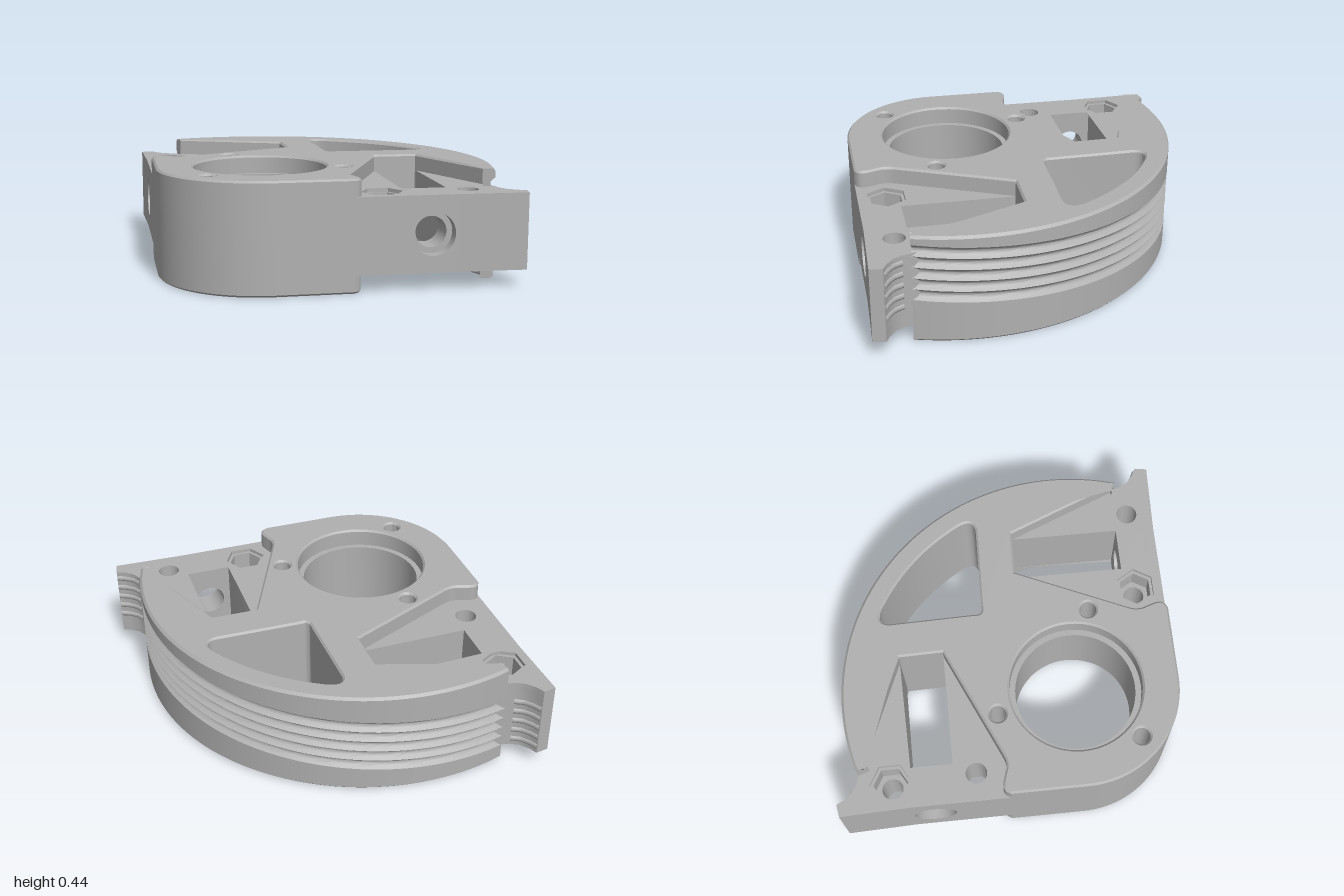
import * as THREE from 'three';
import { toCreasedNormals } from 'three/addons/utils/BufferGeometryUtils.js';

const H = 0.445;                    // full height
const R = 0.935, CZ = 0.25;         // rear drum arc: radius and centre z
const A0 = 1.088;                   // half sweep of the drum arc
const EDGE = 0.857;                 // front faces lie on x + z = EDGE
const W0 = 0.07, W1 = 0.375;        // wing bottom and top
const BORE = 0.265;                 // bore centre z

const V = (x, z) => new THREE.Vector2(x, -z);   // plan point to shape point
const plan = pts => new THREE.Shape(pts.map(([x, z]) => V(x, z)));

function circle(x, y, r) {
  const p = new THREE.Path();
  p.absarc(x, y, r, 0, Math.PI * 2, true);
  return p;
}

function hexagon(x, z, r) {
  const pts = [];
  for (let i = 0; i < 6; i++) {
    const a = Math.PI / 4 + i * Math.PI / 3;
    pts.push(new THREE.Vector2(x + r * Math.cos(a), -z + r * Math.sin(a)));
  }
  return new THREE.Path(pts);
}

// Extrude a plan shape upwards from y0 to y1, optionally chamfered
function slab(shape, y0, y1, c = 0) {
  const g = new THREE.ExtrudeGeometry(shape, {
    depth: y1 - y0 - 2 * c, curveSegments: 28, bevelEnabled: c > 0,
    bevelSize: c, bevelThickness: c, bevelOffset: -c, bevelSegments: 1,
  });
  g.rotateX(-Math.PI / 2).translate(0, y0 + c, 0);
  return toCreasedNormals(g, 0.5);
}

function coreShape() {
  // Right-hand outline from the front corner back to the drum arc
  const side = [[0.51, 0.347]];
  const bend = (a, b, c) => {
    const q = new THREE.QuadraticBezierCurve(
      new THREE.Vector2(...a), new THREE.Vector2(...b), new THREE.Vector2(...c));
    q.getPoints(6).forEach(p => side.push([p.x, p.y]));
  };
  bend([0.512, 0.34], [0.525, 0.31], [0.49, 0.29]);
  bend([0.455, 0.272], [0.42, 0.26], [0.403, 0.21]);
  side.push([0.23, -0.245], [0.36, -0.37], [0.808, -0.182]);

  const pts = [];
  const arc = (cz, r, from, to, n) => {
    for (let i = 0; i <= n; i++) {
      const a = from + (to - from) * i / n;
      pts.push([r * Math.sin(a), cz - r * Math.cos(a)]);
    }
  };
  arc(0.27, 0.415, Math.PI * 1.25, Math.PI * 0.75, 28);
  pts.push(...side);
  arc(CZ, R - 0.03, A0, -A0, 56);
  pts.push(...side.map(([x, z]) => [-x, z]).reverse());
  const s = plan(pts);

  // Bore, screw holes and the rear window
  s.holes.push(circle(0, -BORE, 0.27), circle(0, -0.6, 0.034),
    circle(0.292, -0.097, 0.034), circle(-0.292, -0.097, 0.034));
  const w = new THREE.Path();
  w.moveTo(0.025, 0.255);
  w.lineTo(0.275, 0.495);
  w.quadraticCurveTo(0.31, 0.54, 0.25, 0.563);
  w.quadraticCurveTo(0, 0.637, -0.25, 0.563);
  w.quadraticCurveTo(-0.31, 0.54, -0.275, 0.495);
  w.lineTo(-0.025, 0.255);
  w.quadraticCurveTo(0, 0.22, 0.025, 0.255);
  s.holes.push(w);
  return s;
}

// Rear drum surface with five descending cable grooves
function drumGeometry() {
  const inner = R - 0.05, N = 72, pitch = 0.046, count = 5, steps = 8;
  const profile = a => {
    const top = 0.24 + 0.055 * a / A0 + pitch * count / 2;
    const p = [[inner, H], [R - 0.01, H], [R, H - 0.01]];
    for (let k = 0; k <= count * steps; k++) {
      const depth = 0.02 * Math.sin(Math.PI * (k % steps) / steps);
      p.push([R - depth, top - pitch * k / steps]);
    }
    p.push([R, 0.01], [R - 0.01, 0], [inner, 0]);
    return p;
  };
  const at = (a, [r, y]) => [r * Math.sin(a), y, CZ - r * Math.cos(a)];
  const pos = [];
  const quad = (a, b, c, d) => pos.push(...a, ...b, ...c, ...a, ...c, ...d);
  for (let i = 0; i < N; i++) {
    const a = -A0 + 2 * A0 * i / N, b = -A0 + 2 * A0 * (i + 1) / N;
    const p = profile(a), q = profile(b);
    for (let j = 0; j < p.length - 1; j++)
      quad(at(a, p[j]), at(b, q[j]), at(b, q[j + 1]), at(a, p[j + 1]));
  }
  // Close both ends
  for (const a of [-A0, A0]) {
    const p = profile(a);
    for (let j = 0; j < p.length - 1; j++) {
      const c = [at(a, [inner, p[j][1]]), at(a, [inner, p[j + 1][1]]), at(a, p[j + 1]), at(a, p[j])];
      if (a < 0) c.reverse();
      quad(...c);
    }
  }
  const g = new THREE.BufferGeometry();
  g.setAttribute('position', new THREE.Float32BufferAttribute(pos, 3));
  return toCreasedNormals(g, 0.6);
}

export function createModel() {
  const grey = new THREE.MeshStandardMaterial({ color: 0xb0b0b0 });
  grey.name = 'machinedGrey';
  const model = new THREE.Group();
  model.name = 'bracket';
  const add = (parent, name, geo) => {
    const m = new THREE.Mesh(geo, grey);
    m.name = name;
    parent.add(m);
    return m;
  };

  add(model, 'core', slab(coreShape(), 0, H, 0.008));
  add(model, 'groovedDrum', drumGeometry());

  // Narrow land inside the bore, leaving a recess at both ends
  const land = new THREE.Shape();
  land.absarc(0, -BORE, 0.275, 0, Math.PI * 2, false);
  land.holes.push(circle(0, -BORE, 0.246));
  add(model, 'boreLand', slab(land, 0.075, H - 0.075));

  // Wings: the second is the first turned half a turn about z
  const T = 0.426, HALF = 0.09, S0 = 0.444, S1 = EDGE / Math.SQRT2;
  const diag = (t, s) => [(t + s) / Math.SQRT2, (s - t) / Math.SQRT2];
  const scoop = [[0.97, -0.172], [0.935, -0.16], [0.893, -0.156], [0.855, -0.167], [0.82, -0.19]];
  const tipArm = [[0.36, -0.373], diag(T + HALF, S0), diag(T + HALF, S1), [1, -0.13], ...scoop];
  const innerArm = [[0.225, -0.25], [0.40, 0.25], [0.51, 0.347],
    diag(T - HALF, S1), diag(T - HALF, S0), [0.233, -0.245]];
  const layers = [   // y0, y1, hex radius at the tip hole, hex radius at the inner hole
    [W0, W0 + 0.015, 0.084, 0], [W0 + 0.015, 0.17, 0.07, 0], [0.17, 0.275, 0, 0],
    [0.275, W1 - 0.015, 0, 0.07], [W1 - 0.015, W1, 0, 0.084],
  ];
  for (const side of ['left', 'right']) {
    const wing = new THREE.Group();
    wing.name = side + 'Wing';
    for (const [y0, y1, tipHex, innerHex] of layers) {
      for (const [name, pts, x, z, hex] of [
        ['tipArm', tipArm, 0.77, -0.063, tipHex], ['innerArm', innerArm, 0.522, 0.175, innerHex]]) {
        const s = plan(pts);
        s.holes.push(hex ? hexagon(x, z, hex) : circle(x, -z, 0.043));
        add(wing, name, slab(s, y0, y1));
      }
    }
    // End wall of the slot with a counterbored cross hole
    for (const [name, s0, s1, r] of [['crossHoleWall', S0, S1 - 0.05, 0.062], ['crossHoleRim', S1 - 0.05, S1, 0.085]]) {
      const h = (W1 - W0) / 2;
      const s = new THREE.Shape([[-HALF, -h], [HALF, -h], [HALF, h], [-HALF, h]]
        .map(p => new THREE.Vector2(...p)));
      s.holes.push(circle(0, 0, r));
      const g = new THREE.ExtrudeGeometry(s, { depth: s1 - s0, bevelEnabled: false, curveSegments: 24 });
      const m = add(wing, name, toCreasedNormals(g, 0.5));
      const [x, z] = diag(T, s0);
      m.position.set(x, (W0 + W1) / 2, z);
      m.rotation.y = Math.PI / 4;
    }
    // Cable ridges across the scooped edge
    for (let k = 0; k < 5; k++) {
      const path = new THREE.CatmullRomCurve3(
        scoop.slice(0, 4).map(([x, z]) => new THREE.Vector3(x, 0.16 + 0.046 * k, z + 0.006)));
      add(wing, 'scoopRidge', new THREE.TubeGeometry(path, 10, 0.014, 8));
    }
    if (side === 'right') {
      wing.rotation.z = Math.PI;
      wing.position.y = H;
    }
    model.add(wing);
  }
  return model;
}
